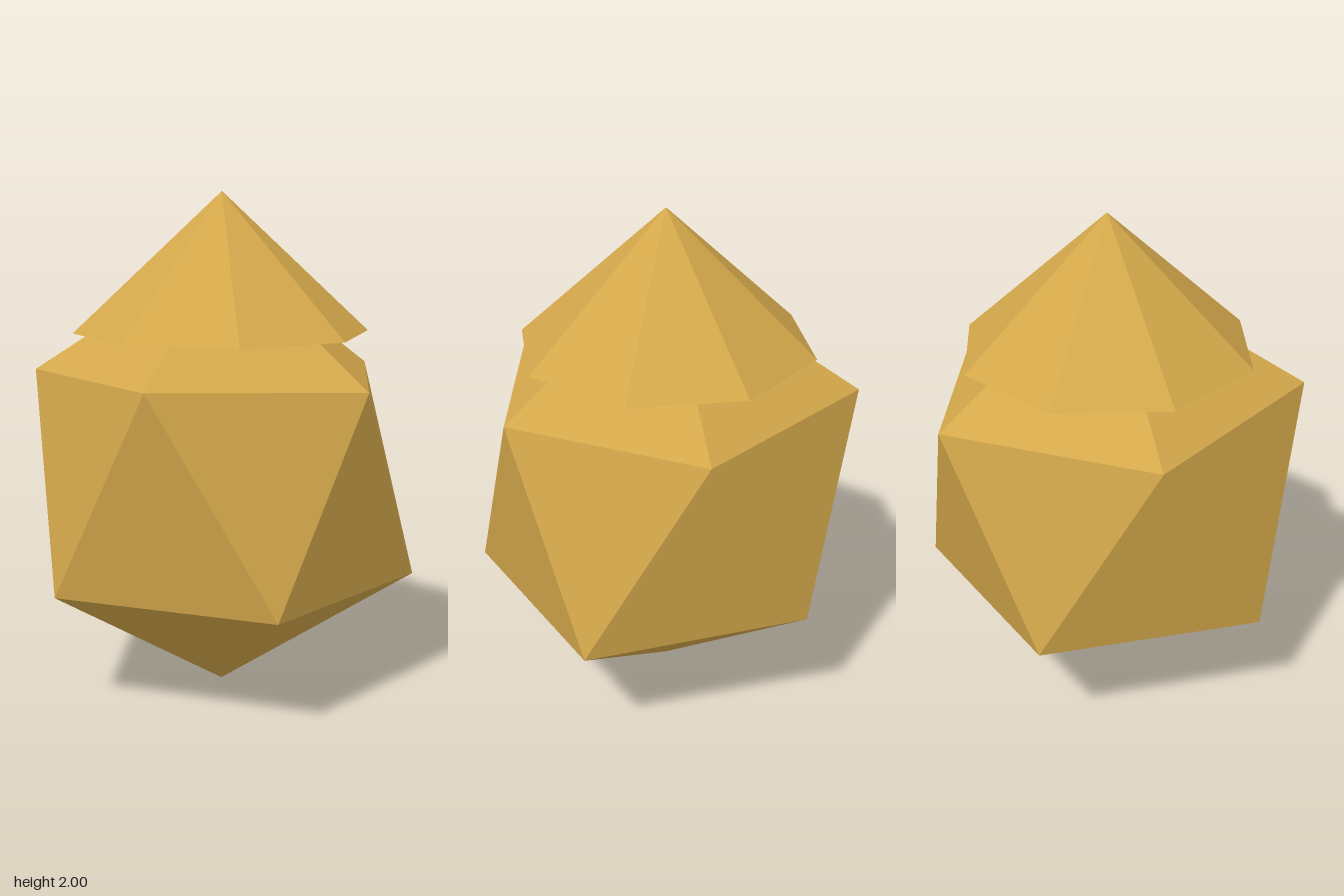
import * as THREE from 'three';

export function createModel() {
  const group = new THREE.Group();
  const gold = new THREE.MeshStandardMaterial({ color: 0xd4a84b, flatShading: true });
  gold.name = 'gold';

  // Body: a slightly irregular icosahedron, two rings of five between two tips
  const top = [0.02, 1.78, -0.025];
  const bottom = [0.02, 0, -0.025];
  const upper = [
    [0.725, 1.265, -0.025], [0.26, 1.305, 0.715], [-0.59, 1.29, 0.415],
    [-0.59, 1.285, -0.47], [0.245, 1.275, -0.72],
  ];
  const lower = [
    [0.645, 0.46, 0.425], [-0.215, 0.465, 0.705], [-0.73, 0.475, -0.025],
    [-0.205, 0.49, -0.72], [0.65, 0.46, -0.485],
  ];
  const corners = [];
  for (let i = 0; i < 5; i++) {
    const j = (i + 1) % 5;
    corners.push(...top, ...upper[j], ...upper[i]);
    corners.push(...upper[i], ...upper[j], ...lower[i]);
    corners.push(...upper[j], ...lower[j], ...lower[i]);
    corners.push(...bottom, ...lower[i], ...lower[j]);
  }
  const bodyGeometry = new THREE.BufferGeometry();
  bodyGeometry.setAttribute('position', new THREE.Float32BufferAttribute(corners, 3));
  bodyGeometry.computeVertexNormals();
  const body = new THREE.Mesh(bodyGeometry, gold);
  body.name = 'body';
  group.add(body);

  // Eight-sided cone cap with a closed underside
  const cap = new THREE.Mesh(new THREE.ConeGeometry(0.593, 0.555, 8), gold);
  cap.name = 'coneCap';
  cap.position.set(0.02, 1.7225, -0.025);
  group.add(cap);

  return group;
}
